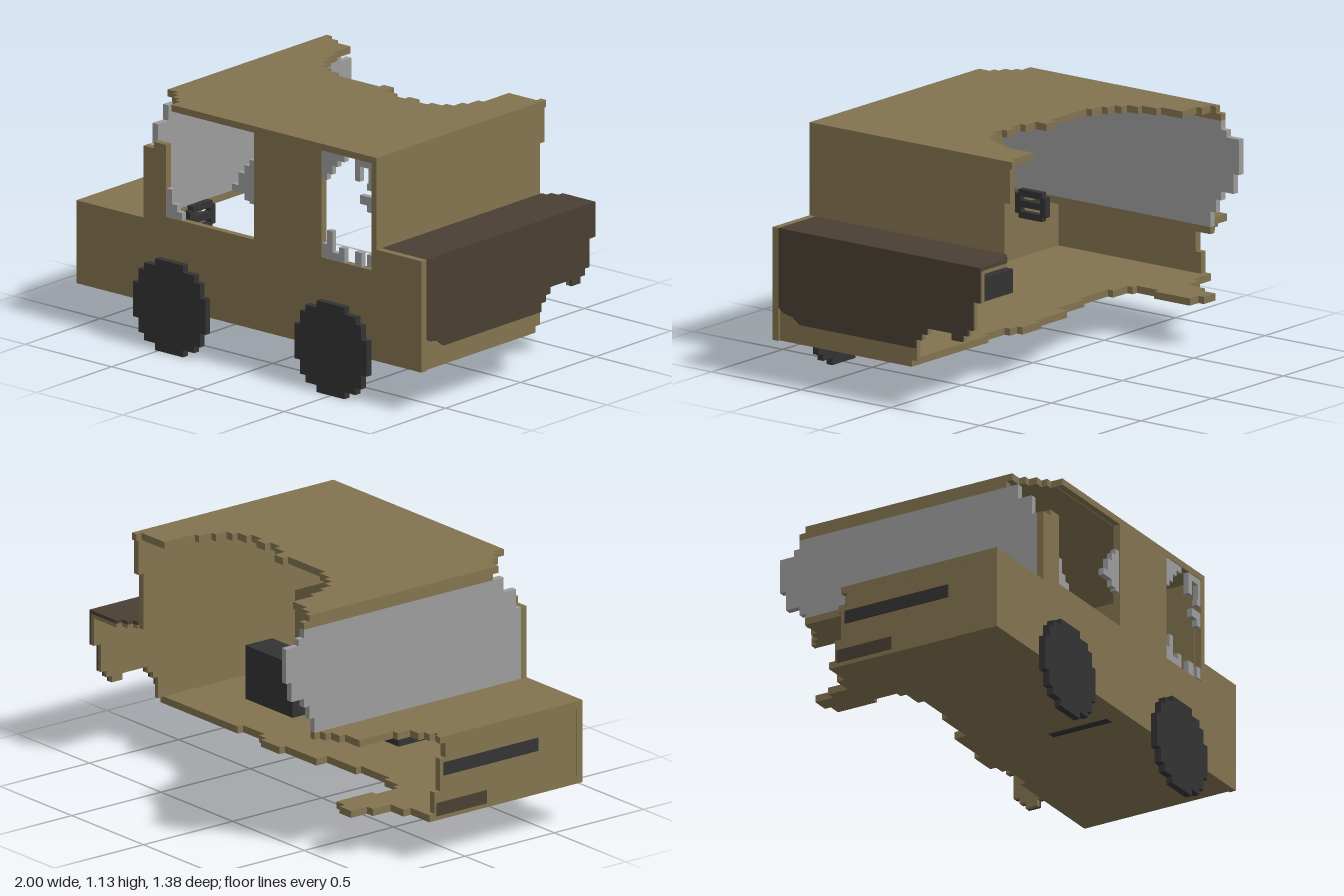
import * as THREE from 'three';

const V = 0.0323; // block size
const mat = (name, color) => {
  const m = new THREE.MeshStandardMaterial({ color });
  m.name = name;
  return m;
};

export function createModel() {
  const tan = mat('tanPaint', 0x837450);
  const brown = mat('darkBrownPaint', 0x4a3f33);
  const black = mat('blackRubber', 0x333333);
  const grey = mat('greyGlass', 0x9d9d9d);
  const car = new THREE.Group();
  car.name = 'brokenBlockCar';

  function add(parent, name, geo, m) {
    const mesh = new THREE.Mesh(geo, m);
    mesh.name = name;
    parent.add(mesh);
    return mesh;
  }
  function box(parent, name, m, x0, x1, y0, y1, z0, z1) {
    const mesh = add(parent, name, new THREE.BoxGeometry(x1 - x0, y1 - y0, z1 - z0), m);
    mesh.position.set((x0 + x1) / 2, (y0 + y1) / 2, (z0 + z1) / 2);
    return mesh;
  }
  // flat panel from an outline; plane 'xy' starts at z = at, 'xz' has its top at y = at, 'zy' its +x face at x = at
  function panel(name, m, plane, pts, at, depth = V, holes = []) {
    const vec = (list) => list.map(([a, b]) => new THREE.Vector2(a, b));
    const shape = new THREE.Shape(vec(pts));
    holes.forEach((h) => shape.holes.push(new THREE.Path(vec(h))));
    const geo = new THREE.ExtrudeGeometry(shape, { depth, bevelEnabled: false });
    if (plane === 'xy') geo.translate(0, 0, at);
    if (plane === 'xz') geo.rotateX(Math.PI / 2).translate(0, at, 0);
    if (plane === 'zy') geo.rotateY(-Math.PI / 2).translate(at, 0, 0);
    return add(car, name, geo, m);
  }
  // turns a broken edge into block steps
  const steps = (pts) => pts.flatMap((p, i) =>
    i && p[0] !== pts[i - 1][0] && p[1] !== pts[i - 1][1] ? [[p[0], pts[i - 1][1]], p] : [p]);

  // Side wall with door opening and rear window
  panel('sideWall', tan, 'xy', [
    [-1, 0.2], [1, 0.2], [1, 0.71], [0.74, 0.71], [0.74, 1.13], [-0.45, 1.13], [-0.45, 1.1],
    [0.03, 1.1], [0.03, 0.61], [-0.48, 0.61], [-0.48, 0.94], [-0.55, 0.94], [-0.55, 0.91],
    [-0.61, 0.91], [-0.61, 0.58], [-1, 0.58],
  ], 0.627, V, [[[0.42, 0.61], [0.42, 1.1], [0.71, 1.1], [0.71, 0.61]]]);

  // Floor with broken edge
  panel('floor', tan, 'xz', [[-1, 0.627], [0.99, 0.627], ...steps([
    [0.99, -0.11], [0.6, -0.11], [0.45, -0.08], [0.3, -0.11], [0.25, -0.14], [0.12, -0.11],
    [-0.1, -0.05], [-0.3, -0.02], [-0.5, -0.05], [-0.6, -0.08], [-0.63, -0.2], [-0.6, -0.3],
    [-0.6, -0.4], [-0.66, -0.43], [-0.74, -0.43], [-0.74, -0.34], [-0.78, -0.24], [-0.87, -0.2], [-1, -0.17],
  ])], 0.2 + V);

  // Hood
  panel('hood', tan, 'xz', [[-1, 0.627], [-0.58, 0.627], ...steps([
    [-0.58, -0.53], [-0.61, -0.5], [-0.65, -0.47], [-0.71, -0.44], [-0.81, -0.41], [-0.81, -0.25],
    [-0.84, -0.18], [-0.9, -0.15], [-0.94, -0.12], [-1, -0.12],
  ])], 0.58);

  // Nose panel with grille and bumper
  panel('nosePanel', tan, 'zy', [
    [0.627, 0.2], [0.627, 0.58], [-0.14, 0.58], [-0.14, 0.55], [-0.11, 0.55], [-0.11, 0.48],
    [-0.14, 0.48], [-0.14, 0.33], [-0.17, 0.33], [-0.17, 0.2],
  ], -0.967);
  box(car, 'grille', black, -1.004, -0.99, 0.4, 0.46, -0.12, 0.41);
  box(car, 'bumper', brown, -1.004, -0.99, 0.22, 0.28, -0.16, 0.12);

  // Roof
  panel('roof', tan, 'xz', [
    ...steps([[-0.61, 0.5], [-0.58, 0.5], [-0.55, 0.53], [-0.52, 0.57], [-0.48, 0.6], [-0.45, 0.627]]),
    [0.74, 0.627], ...steps([
      [0.74, -0.47], [0.71, -0.44], [0.55, -0.44], [0.55, -0.27], [0.52, -0.2], [0.49, -0.14],
      [0.45, -0.11], [0.39, -0.08], [0.32, -0.11], [0.26, -0.08], [0.19, -0.11], [0.12, -0.17],
      [0.06, -0.14], [-0.2, -0.17], [-0.27, -0.2], [-0.32, -0.24], [-0.36, -0.3], [-0.39, -0.38],
      [-0.42, -0.47], [-0.42, -0.5], [-0.52, -0.53], [-0.58, -0.56], [-0.61, -0.56],
    ]),
  ], 1.13);
  box(car, 'windshieldHeader', tan, -0.61, -0.578, 1.07, 1.1, -0.59, 0.47);

  // Cabin rear wall
  panel('cabinRearWall', tan, 'zy', [
    [0.627, 0.68], [0.627, 1.1], [-0.46, 1.1], [-0.46, 0.94], [-0.43, 0.94], [-0.43, 0.68],
  ], 0.74);

  // Windshield with broken end
  panel('windshield', grey, 'zy', [[0.627, 0.58], [0.627, 0.91], ...steps([
    [0.6, 0.91], [0.6, 1.0], [0.53, 1.07], [-0.59, 1.07], [-0.59, 1.03], [-0.62, 1.0], [-0.69, 1.0],
    [-0.69, 0.84], [-0.66, 0.84], [-0.66, 0.75], [-0.59, 0.75], [-0.59, 0.71], [-0.56, 0.71],
    [-0.56, 0.65], [-0.53, 0.65], [-0.53, 0.58],
  ])], -0.58, 0.03);

  // Tailgate: brown outside, tan lining inside
  const brokenEnd = [
    [-0.5, 0.71], [-0.5, 0.55], [-0.46, 0.55], [-0.46, 0.42], [-0.43, 0.42], [-0.43, 0.39],
    [-0.4, 0.39], [-0.4, 0.36], [-0.34, 0.36], [-0.34, 0.39], [-0.2, 0.39], [-0.2, 0.36],
    [-0.17, 0.36], [-0.17, 0.33], [-0.14, 0.33],
  ];
  panel('tailgate', brown, 'zy', [
    [0.627, 0.71], ...brokenEnd, [-0.14, 0.29], [0.51, 0.29], [0.55, 0.32], [0.6, 0.33], [0.627, 0.35],
  ], 1, 0.012);
  panel('tailgateLining', tan, 'zy', [
    [0.627, 0.69], [-0.5, 0.69], ...brokenEnd.slice(1), [-0.14, 0.23], [-0.11, 0.23], [-0.11, 0.2], [0.627, 0.2],
  ], 0.99, 0.022);

  // Trunk lid with lining
  const lid = [[0.74, 0.627], [1, 0.627], ...steps([
    [1, -0.5], [0.81, -0.5], [0.81, -0.47], [0.77, -0.44], [0.74, -0.44]])];
  panel('trunkLid', brown, 'xz', lid, 0.71, 0.015);
  panel('trunkLidLining', tan, 'xz', lid.map(([x, z]) => [Math.min(x, 0.985), z]), 0.695, 0.017);

  // Glass left in the side windows
  const glass = new THREE.Group();
  glass.name = 'windowGlassRemains';
  car.add(glass);
  [
    [-0.48, -0.39, 0.61, 0.645], [-0.48, -0.42, 0.645, 0.675], [-0.48, -0.45, 0.675, 0.74],
    [0, 0.03, 0.77, 0.97], [-0.1, 0, 0.81, 0.84], [-0.065, 0, 0.84, 0.9], [-0.03, 0, 0.9, 0.94], [-0.03, 0, 0.78, 0.81],
    [0.42, 0.45, 0.97, 1.1], [0.45, 0.55, 1.07, 1.1], [0.45, 0.48, 1.0, 1.07], [0.48, 0.51, 1.04, 1.07],
    [0.61, 0.64, 1.0, 1.1], [0.64, 0.71, 1.07, 1.1], [0.68, 0.71, 0.97, 1.0], [0.69, 0.71, 1.0, 1.07],
    [0.64, 0.71, 0.9, 0.94], [0.68, 0.71, 0.87, 0.9],
    [0.42, 0.55, 0.61, 0.645], [0.42, 0.48, 0.645, 0.675], [0.45, 0.48, 0.675, 0.74],
    [0.52, 0.55, 0.645, 0.675], [0.61, 0.65, 0.61, 0.675], [0.68, 0.71, 0.62, 0.675],
  ].forEach(([x0, x1, y0, y1]) => box(glass, 'glassPiece', grey, x0, x1, y0, y1, 0.63, 0.656));

  // Stepped wheels
  const rows = [5, 9, 11, 11, 13, 13, 13];
  const ring = [];
  for (let i = 0; i < 13; i++) {
    const h = rows[Math.min(i, 12 - i)] * V / 2;
    ring.push([h, i * V], [h, (i + 1) * V]);
  }
  const outline = [...ring, ...ring.map(([x, y]) => [-x, y]).reverse()];
  [-0.435, 0.5].forEach((x, i) => {
    panel(i ? 'rearWheel' : 'frontWheel', black, 'xy', outline.map(([a, b]) => [a + x, b]), 0.659);
  });

  // Rear bench
  const bench = new THREE.Group();
  bench.name = 'rearBench';
  car.add(bench);
  box(bench, 'benchBack', black, 0.39, 0.72, 0.23, 0.48, 0.15, 0.3);
  box(bench, 'benchCushion', black, 0.39, 0.72, 0.23, 0.31, 0.3, 0.58);

  // Driver seat
  const seat = new THREE.Group();
  seat.name = 'driverSeat';
  car.add(seat);
  box(seat, 'seatBack', black, 0.07, 0.11, 0.198, 0.59, 0.27, 0.57);
  box(seat, 'seatCushion', black, -0.2, 0.07, 0.23, 0.34, 0.27, 0.57);

  // Steering wheel and column
  const steering = new THREE.Group();
  steering.name = 'steering';
  car.add(steering);
  box(steering, 'column', black, -0.58, -0.5, 0.53, 0.56, 0.39, 0.42);
  [[0.48, 0.51], [0.58, 0.61]].forEach(([a, b]) =>
    box(steering, 'rimBar', black, -0.52, -0.49, a, b, 0.34, 0.47));
  [[0.32, 0.35], [0.46, 0.49]].forEach(([a, b]) =>
    box(steering, 'rimPost', black, -0.52, -0.49, 0.5, 0.59, a, b));
  box(steering, 'spoke', black, -0.52, -0.49, 0.53, 0.56, 0.35, 0.46);

  return car;
}
